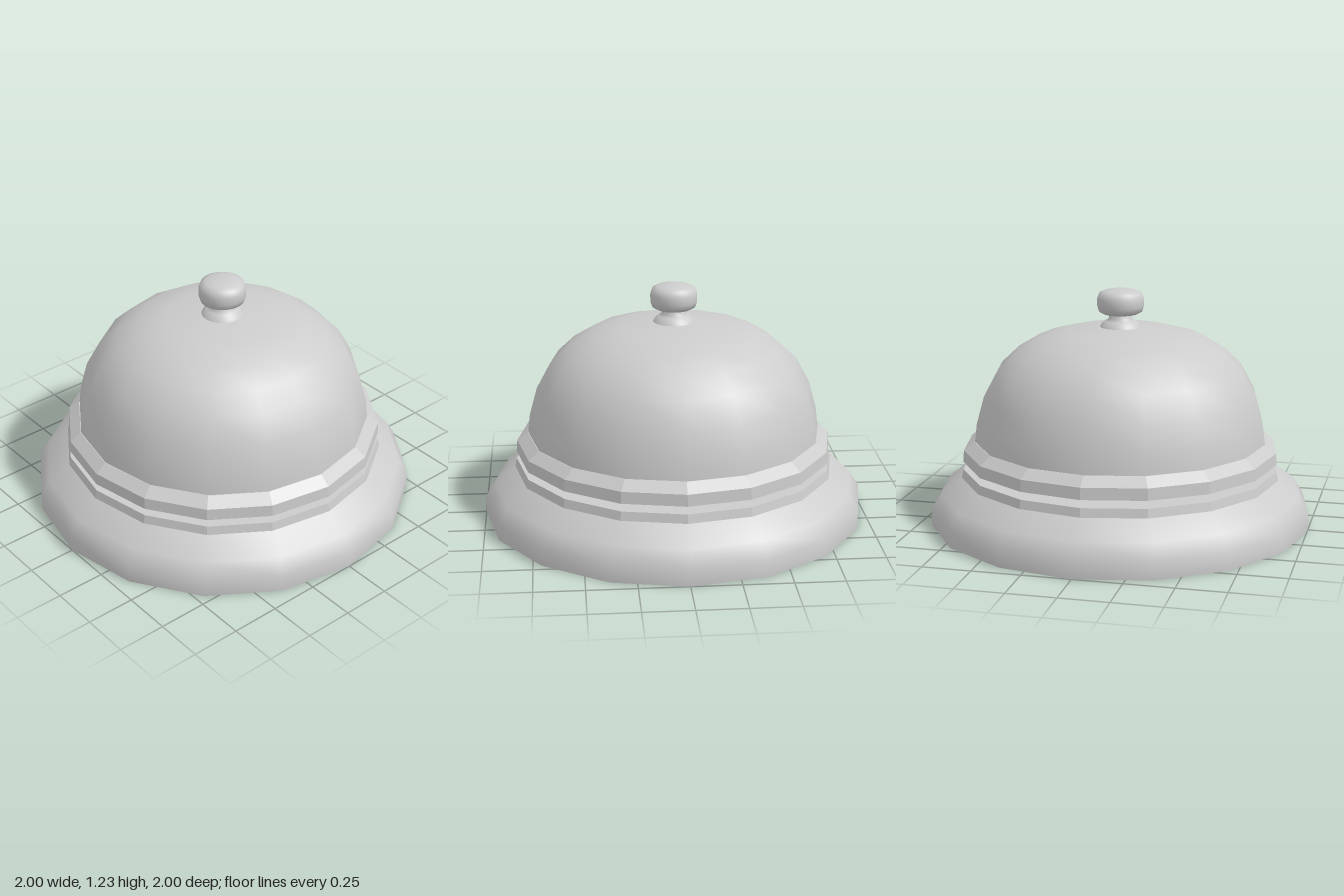
import * as THREE from 'three';
import { toCreasedNormals } from 'three/addons/utils/BufferGeometryUtils.js';

const SIDES = 16;

export function createModel() {
  const model = new THREE.Group();
  const material = new THREE.MeshStandardMaterial({ color: 0xcccccc });

  // Turned part from [radius, height] pairs, listed from bottom to top
  function turned(name, profile, sides = SIDES, crease = null) {
    let geometry = new THREE.LatheGeometry(profile.map(([r, y]) => new THREE.Vector2(r, y)), sides);
    if (crease !== null) geometry = toCreasedNormals(geometry, crease);
    const mesh = new THREE.Mesh(geometry, material);
    mesh.name = name;
    model.add(mesh);
  }

  // Base: flat underside, smooth flared body, faceted collar with flat top
  turned('baseUnderside', [[0, 0], [1, 0]]);
  turned('baseBody', [[1, 0], [1, 0.09], [0.95, 0.17], [0.84, 0.255]]);
  turned('baseCollar', [[0.84, 0.255], [0.83, 0.3], [0, 0.3]], SIDES, 0.2);

  // Post carrying the bell
  turned('post', [[0.2, 0.29], [0.2, 0.35]]);

  // Bell: faceted rim and smooth dome
  turned('bellRim', [[0, 0.34], [0.83, 0.34], [0.825, 0.4], [0.77, 0.445], [0.74, 0.445]], SIDES, 0.2);
  turned('bellDome', [
    [0.767, 0.44], [0.755, 0.54], [0.715, 0.685], [0.645, 0.815],
    [0.55, 0.905], [0.435, 0.975], [0.29, 1.015], [0.1, 1.033], [0, 1.035],
  ]);

  // Push button: flared stem and rounded knob
  turned('buttonStem', [[0.11, 1.025], [0.1, 1.045], [0.08, 1.063], [0.06, 1.075], [0.057, 1.11]], 32);
  turned('buttonKnob', [
    [0, 1.1], [0.09, 1.1], [0.112, 1.112], [0.121, 1.14], [0.121, 1.18],
    [0.11, 1.208], [0.085, 1.22], [0.045, 1.228], [0, 1.23],
  ], 32, 0.9);

  return model;
}
